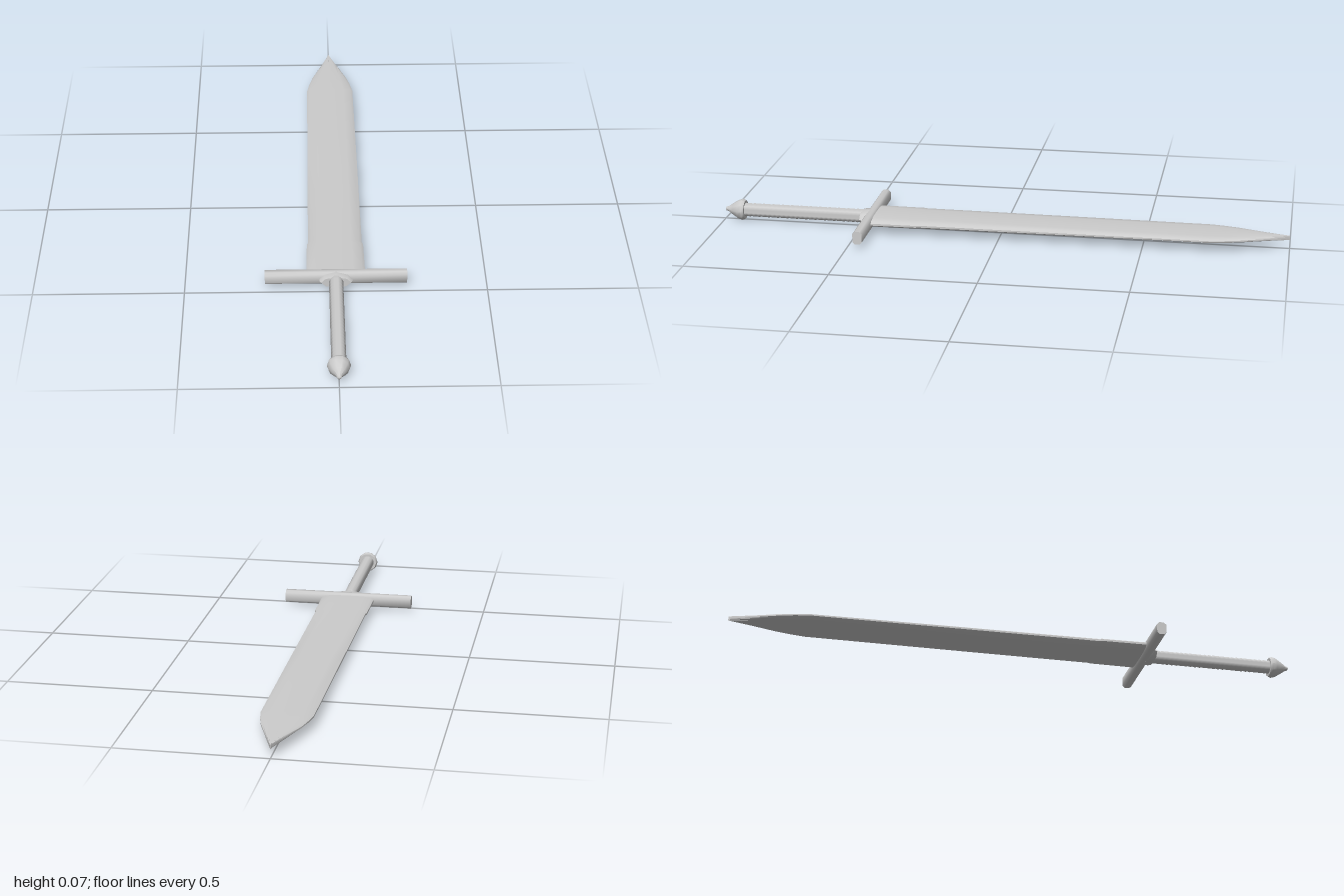
import * as THREE from 'three';
import { toCreasedNormals } from 'three/addons/utils/BufferGeometryUtils.js';

const AXIS_Y = 0.0385; // height of the sword's long axis
const mat = new THREE.MeshStandardMaterial({ color: 0xcccccc });

function add(group, name, geometry, crease = 0.8) {
  const mesh = new THREE.Mesh(toCreasedNormals(geometry, crease), mat);
  mesh.name = name;
  group.add(mesh);
  return mesh;
}

// Solid turned around the long axis; profile is [radius, z]
function turned(profile, sides) {
  const pts = profile.map(([r, z]) => new THREE.Vector2(r, z));
  return new THREE.LatheGeometry(pts, sides, Math.PI / sides).rotateX(Math.PI / 2);
}

// Blade lofted through sections [z, half width, half thickness]
function bladeGeometry() {
  const sections = [
    [0.46, 0.097, 0.014], [0.29, 0.095, 0.0135], [0.28, 0.091, 0.0135],
    [-0.2, 0.089, 0.012], [-0.73, 0.086, 0.01], [-0.78, 0.077, 0.0095],
    [-0.83, 0.064, 0.009], [-0.92, 0.031, 0.0085], [-1, 0.0005, 0.008],
  ];
  const upper = [[1, 0.25], [0.9, 0.7], [0.6, 0.95], [0, 1], [-0.6, 0.95], [-0.9, 0.7], [-1, 0.25]];
  const ring = [...upper, ...upper.map(([x, y]) => [-x, -y])];
  const n = ring.length, pos = [], idx = [];
  for (const [z, w, t] of sections) for (const [x, y] of ring) pos.push(x * w, y * t, z);
  for (let s = 0; s < sections.length - 1; s++) {
    for (let i = 0; i < n; i++) {
      const a = s * n + i, b = s * n + (i + 1) % n;
      idx.push(a, b, a + n, b, b + n, a + n);
    }
  }
  // Flip so faces point outward, then cap both ends
  for (let i = 0; i < idx.length; i += 3) [idx[i + 1], idx[i + 2]] = [idx[i + 2], idx[i + 1]];
  const last = (sections.length - 1) * n;
  for (let i = 1; i < n - 1; i++) {
    idx.push(0, i, i + 1);
    idx.push(last, last + i + 1, last + i);
  }
  const g = new THREE.BufferGeometry();
  g.setAttribute('position', new THREE.Float32BufferAttribute(pos, 3));
  g.setIndex(idx);
  return g;
}

export function createModel() {
  const sword = new THREE.Group();
  sword.name = 'sword';

  const blade = add(sword, 'blade', bladeGeometry(), 0.7);
  blade.position.y = 0.0025;

  // Crossguard: straight bar with chamfered edges
  const a = 0.0165, b = 0.0225, c = 0.008;
  const bar = new THREE.Shape([
    [a, -b + c], [a, b - c], [a - c, b], [-a + c, b],
    [-a, b - c], [-a, -b + c], [-a + c, -b], [a - c, -b],
  ].map(([x, y]) => new THREE.Vector2(x, y)));
  const guard = new THREE.ExtrudeGeometry(bar, { depth: 0.47, bevelEnabled: false });
  guard.translate(0, 0, -0.235).rotateY(Math.PI / 2).translate(0, 0, 0.464);
  add(sword, 'crossguard', guard, 0.9);

  // Flattened collar between guard and grip
  const collar = turned([[0, 0.47], [1, 0.47], [1, 0.49], [0.9, 0.5], [0, 0.5]], 8);
  collar.rotateZ(Math.PI / 8).scale(0.055, 0.023, 1);
  add(sword, 'collar', collar);

  // Grip with fine wire-wrap ridges
  const ridges = 26, gripProfile = [];
  for (let i = 0; i <= ridges * 2; i++) {
    gripProfile.push([i % 2 ? 0.0245 : 0.0225, 0.49 + (i / (ridges * 2)) * 0.445]);
  }
  add(sword, 'grip', turned(gripProfile, 12), 1.2);

  // Pointed pommel
  add(sword, 'pommel', turned([
    [0, 0.926], [0.034, 0.926], [0.038, 0.936], [0.034, 0.95],
    [0.022, 0.97], [0.009, 0.988], [0.007, 0.996], [0, 1],
  ], 10));

  for (const part of sword.children) part.position.y += AXIS_Y;
  return sword;
}
